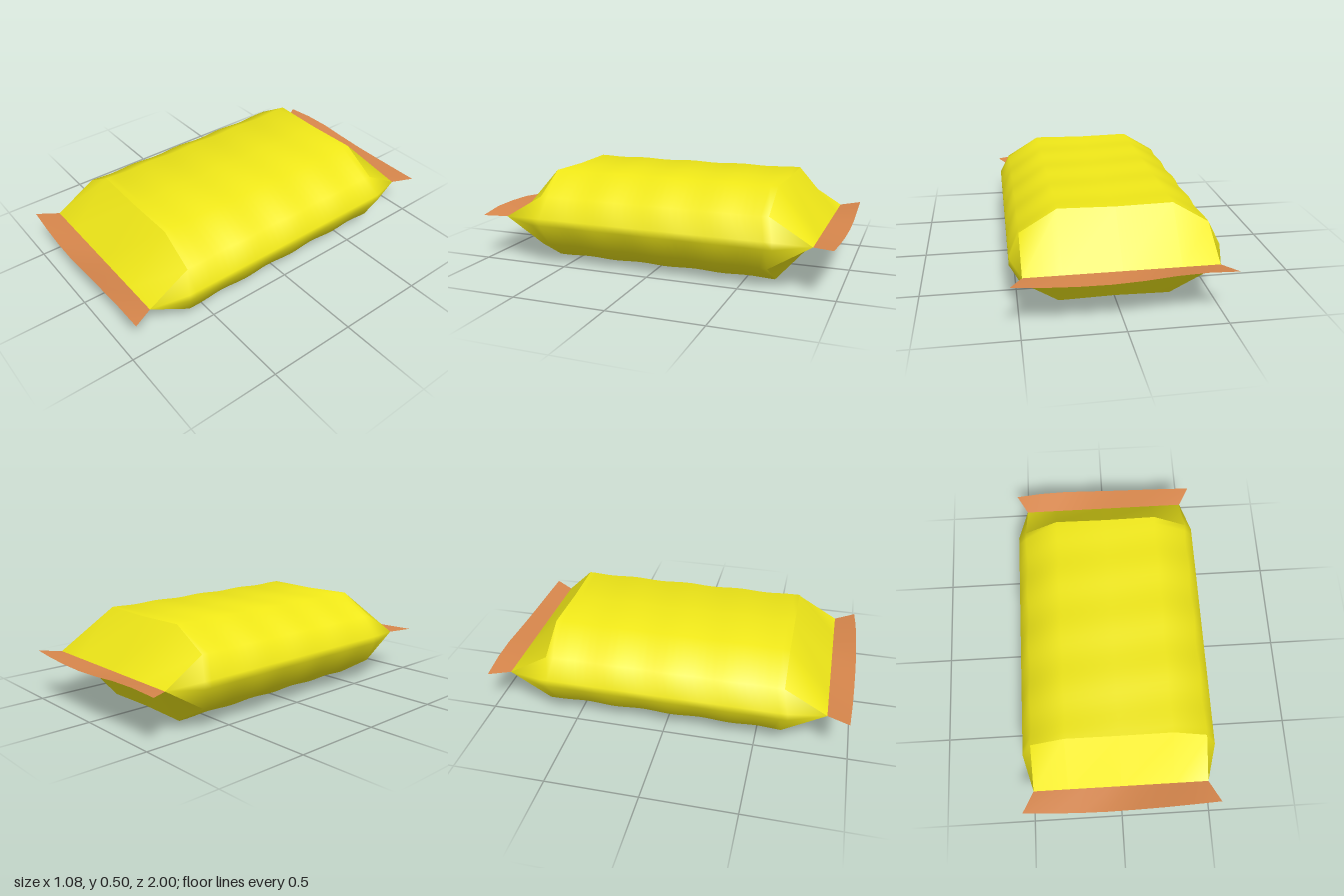
import * as THREE from 'three';

const MID = 0.255, SHIFT = -0.006;   // height of the seams, small offset in z
const BODY = 0.645, SEAM = 0.87;     // half lengths of the body and between the seams

// Right half of the cross-section, top to bottom (relative to MID)
const half = [[0.29, 0.252], [0.48, 0.136], [0.535, 0.02], [0.535, -0.02], [0.48, -0.136], [0.29, -0.252]];
const loop = [[0, 0.246], ...half, [0, -0.246], ...half.map(([x, y]) => [-x, y]).reverse()];
const N = loop.length;

const foil = new THREE.MeshStandardMaterial({ color: 0xf0e818, side: THREE.DoubleSide });
const crimp = new THREE.MeshStandardMaterial({ color: 0xd8874c, side: THREE.DoubleSide });

function mesh(name, points, index, material) {
  const g = new THREE.BufferGeometry();
  g.setAttribute('position', new THREE.Float32BufferAttribute(points.flat(), 3));
  g.setIndex(index);
  g.computeVertexNormals();
  const m = new THREE.Mesh(g, material);
  m.name = name;
  return m;
}

// Surface between two rows of points, the first row further back in z
function strip(name, rowA, rowB, material) {
  const n = rowA.length, index = [];
  for (let i = 0; i < n - 1; i++) index.push(i, n + i, i + 1, i + 1, n + i, n + i + 1);
  return mesh(name, [...rowA, ...rowB], index, material);
}

// Point of the rippled body: t runs from -1 (back) to 1 (front)
function bodyPoint(i, t) {
  const [x, y] = loop[i % N];
  const ripple = 1 - 0.009 * (1 - Math.cos(t * Math.PI * 4 + x * 2)) * (1 - t ** 8);
  const length = Math.abs(x) > 0.5 ? BODY + 0.03 : BODY;
  return [x * (Math.abs(x) > 0.5 ? 1 : ripple), MID + y * ripple, t * length + SHIFT];
}

const seamPoint = (x, s) => [x, MID + 0.002, s * SEAM + SHIFT / 2];

function makeBody() {
  const rows = 32, points = [], index = [];
  for (let j = 0; j <= rows; j++)
    for (let i = 0; i < N; i++) points.push(bodyPoint(i, (j / rows) * 2 - 1));
  for (let j = 0; j < rows; j++)
    for (let i = 0; i < N; i++) {
      const a = j * N + i, b = j * N + ((i + 1) % N);
      index.push(a, a + N, b, b, a + N, b + N);
    }
  // Side gussets narrowing to the ends of the seams
  for (const s of [-1, 1])
    for (const [start, x] of [[2, 0.48], [9, -0.48]]) {
      const apex = points.push(seamPoint(x, s)) - 1;
      const base = s > 0 ? rows * N : 0;
      for (let i = start; i < start + 3; i++) {
        if (s > 0) index.push(base + i, apex, base + i + 1);
        else index.push(base + i, base + i + 1, apex);
      }
    }
  return mesh('wrapperBody', points, index, foil);
}

// Sloping panel from the body to a seam
function makePanel(name, start, s) {
  const body = [], seam = [];
  for (let i = start; i < start + 5; i++) {
    body.push(bodyPoint(i, s));
    seam.push(seamPoint(loop[i % N][0], s));
  }
  return s > 0 ? strip(name, body, seam, foil) : strip(name, seam, body, foil);
}

// Flared, wavy sealed edge; heights run from -x to +x
function makeFin(name, s, heights) {
  const inner = [], outer = [], last = heights.length - 1;
  heights.forEach((y, i) => {
    const u = (i / last) * 2 - 1;
    inner.push(seamPoint(u * 0.48, s));
    outer.push([u * 0.542, y, s * (1 - 0.018 * u * u)]);
  });
  return s > 0 ? strip(name, inner, outer, crimp) : strip(name, outer, inner, crimp);
}

export function createModel() {
  const group = new THREE.Group();
  group.name = 'snackPacket';
  group.add(makeBody());
  for (const [end, s] of [['front', 1], ['back', -1]]) {
    group.add(makePanel(end + 'TopPanel', 12, s));
    group.add(makePanel(end + 'BottomPanel', 5, s));
  }
  group.add(makeFin('frontSeal', 1, [0.268, 0.261, 0.257, 0.262, 0.28, 0.286, 0.286, 0.268]));
  group.add(makeFin('backSeal', -1, [0.268, 0.278, 0.276, 0.264, 0.257, 0.257, 0.261, 0.268]));
  // Rest the packet on the ground
  const low = new THREE.Box3().setFromObject(group).min.y;
  group.children.forEach((m) => m.geometry.translate(0, -low, 0));
  return group;
}
